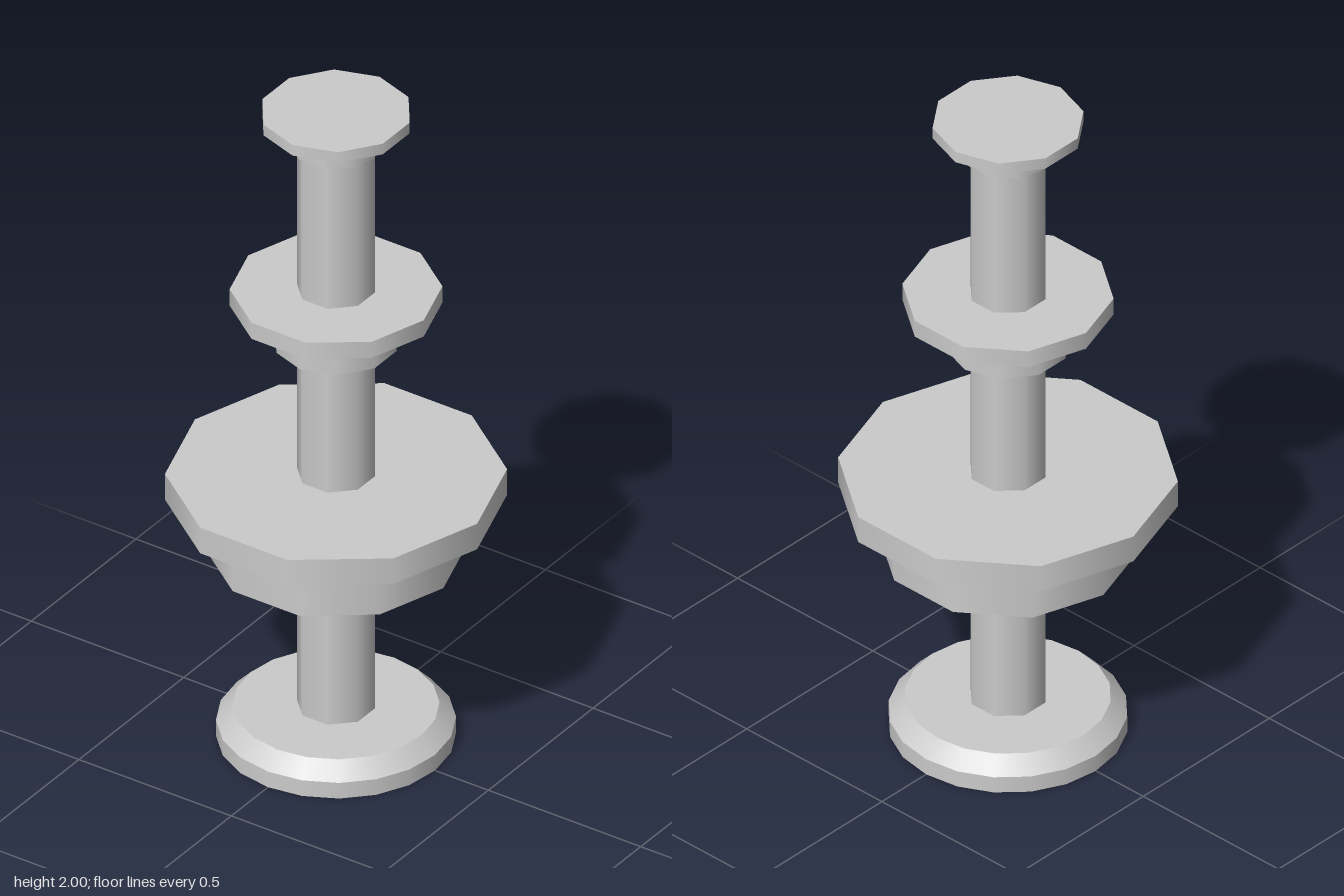
import * as THREE from 'three';

export function createModel() {
  const model = new THREE.Group();
  const material = new THREE.MeshStandardMaterial({ color: 0xcccccc });

  // Prism between two heights; turn = angle of its first corner from +z
  function prism(name, sides, radius, y0, y1, turn = 0, topRadius = radius) {
    const geometry = new THREE.CylinderGeometry(topRadius, radius, y1 - y0, sides, 1, false, turn);
    const mesh = new THREE.Mesh(geometry, material);
    mesh.name = name;
    mesh.position.y = (y0 + y1) / 2;
    model.add(mesh);
  }

  const side = Math.PI / 2; // corner points along x

  // Round foot with a bevelled upper edge
  prism('foot', 20, 0.325, 0, 0.05);
  prism('footBevel', 20, 0.325, 0.05, 0.097, 0, 0.28);

  // Central post, flats facing the axes
  prism('post', 8, 0.1 / Math.cos(Math.PI / 8), 0.09, 1.97, Math.PI / 8);

  // Lower tier
  prism('lowerCollar', 10, 0.352, 0.595, 0.76, side);
  prism('lowerPlate', 10, 0.463, 0.76, 0.842, side);

  // Middle tier
  prism('middleCollar', 10, 0.171, 1.26, 1.38);
  prism('middlePlate', 10, 0.288, 1.38, 1.432, side);

  // Top tier
  prism('topCollar', 10, 0.124, 1.89, 1.966, side);
  prism('topPlate', 10, 0.208, 1.966, 2);

  return model;
}
